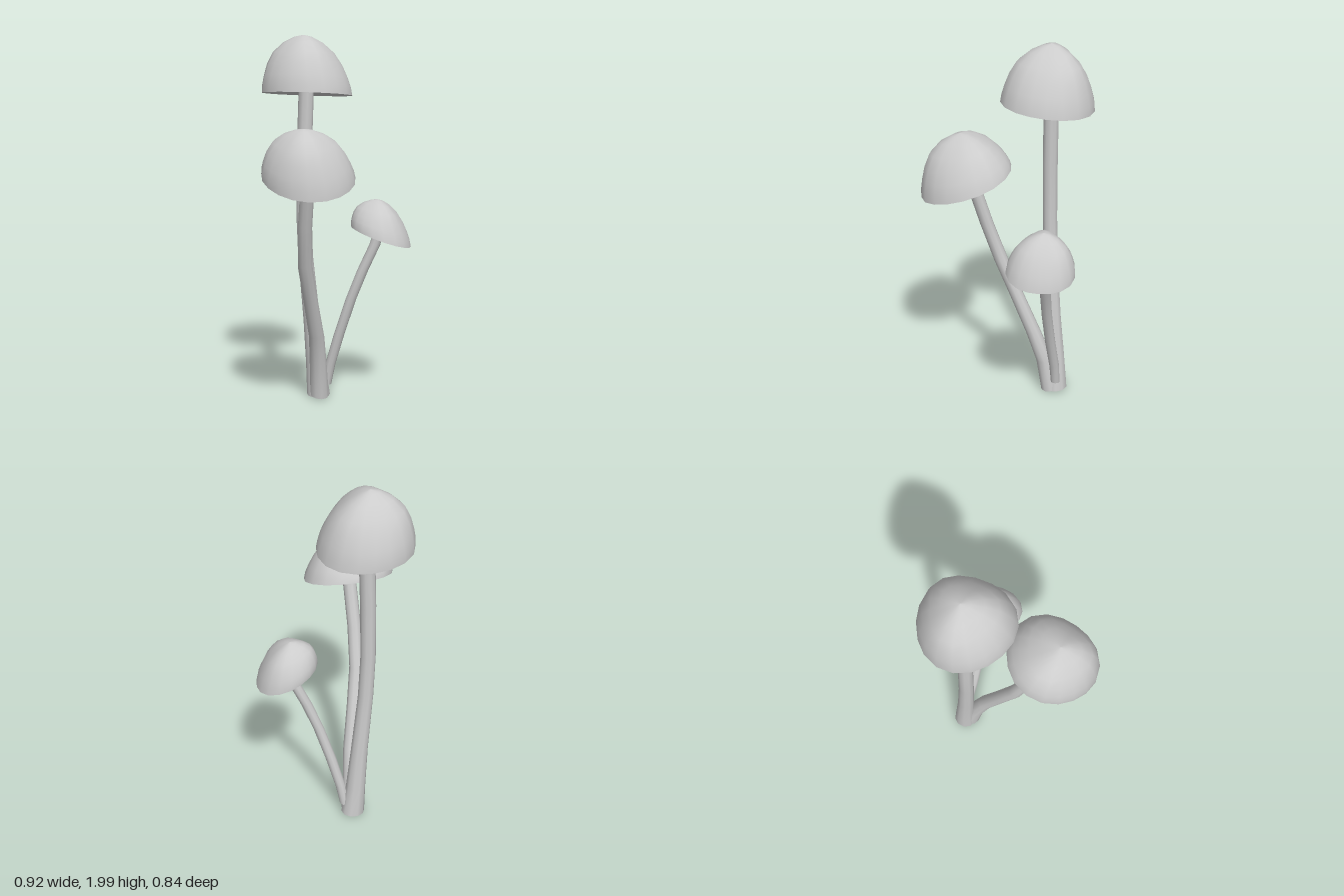
import * as THREE from 'three';

const material = new THREE.MeshStandardMaterial({ color: 0xcccccc });

// Skin between closed rings listed bottom to top (or centre to rim when facing down)
function loft(rings, name) {
  const n = rings[0].length;
  const index = [];
  for (let r = 0; r < rings.length - 1; r++) {
    for (let i = 0; i < n; i++) {
      const a = r * n + i, b = r * n + (i + 1) % n;
      index.push(a, b, b + n, a, b + n, a + n);
    }
  }
  const geometry = new THREE.BufferGeometry().setFromPoints(rings.flat());
  geometry.setIndex(index);
  geometry.computeVertexNormals();
  const mesh = new THREE.Mesh(geometry, material);
  mesh.name = name;
  return mesh;
}

// Ring of points around a centre; slope tilts it, shape(angle) varies its radius
function ring(center, radius, sides, slope = [0, 0], shape = () => 1) {
  return Array.from({ length: sides }, (_, i) => {
    const a = (i / sides) * Math.PI * 2;
    const x = Math.cos(a) * radius * shape(a);
    const z = -Math.sin(a) * radius * shape(a);
    return new THREE.Vector3(center.x + x, center.y + x * slope[0] + z * slope[1], center.z + z);
  });
}

// Bent stem through points [x, y, z, radius], with a closed foot
function makeStem(points, footSlope) {
  const group = new THREE.Group();
  group.name = 'stem';
  const rings = points.map(([x, y, z, r], i) =>
    ring({ x, y, z }, r, 10, i === 0 ? footSlope : [0, 0]));
  const [x, y, z] = points[0];
  group.add(loft(rings, 'stemSide'));
  group.add(loft([ring({ x, y, z }, 0, 10), rings[0].map((p) => p.clone())], 'stemFoot'));
  return group;
}

// Height fraction, radius fraction and amount of lobing
const CAP_PROFILE = [
  [0, 1, 0.03], [0.14, 0.98, 0.03], [0.3, 0.92, 0.04], [0.5, 0.82, 0.06],
  [0.7, 0.66, 0.1], [0.87, 0.42, 0.13], [0.97, 0.18, 0.1], [1, 0, 0],
];

// Lopsided, softly three-lobed cap with a hollow underside
function makeCap({ rim, apex, radius, slope, lobe, stretch = 0 }) {
  const group = new THREE.Group();
  group.name = 'cap';
  const base = new THREE.Vector3(...rim);
  const top = new THREE.Vector3(...apex);
  const shapeFor = (amount) => (a) =>
    1 + amount * Math.cos(3 * (a - lobe)) + stretch * Math.cos(2 * (a - 0.85));
  const outer = CAP_PROFILE.map(([t, r, amount]) =>
    ring(base.clone().lerp(top, t), radius * r, 18,
      slope.map((s) => s * (1 - t * 0.7)), shapeFor(amount)));
  group.add(loft(outer, 'capTop'));
  const inner = [[0.3, 0], [0.26, 0.25], [0.15, 0.65], [0, 1]].map(([t, r]) =>
    ring(base.clone().lerp(top, t), radius * r, 18, slope, shapeFor(0.03)));
  group.add(loft(inner, 'capUnderside'));
  return group;
}

const MUSHROOMS = [
  {
    name: 'tallMushroom',
    stem: [[0.07, 0.02, -0.195, 0.064], [0.055, 0.2, -0.2, 0.054], [0.03, 0.45, -0.2, 0.046],
      [-0.005, 0.8, -0.205, 0.041], [-0.016, 1.05, -0.207, 0.04], [-0.014, 1.35, -0.203, 0.041],
      [-0.005, 1.65, -0.198, 0.041], [-0.003, 1.8, -0.195, 0.04]],
    footSlope: [0.06, -0.08],
    cap: { rim: [-0.004, 1.688, -0.18], apex: [-0.015, 2, -0.205], radius: 0.243,
      slope: [-0.07, 0.05], lobe: 0.14 },
  },
  {
    name: 'middleMushroom',
    stem: [[0.058, 0.025, -0.165, 0.052], [0.035, 0.2, -0.14, 0.047], [-0.006, 0.38, -0.09, 0.042],
      [-0.08, 0.6, -0.03, 0.039], [-0.146, 0.8, 0.025, 0.039], [-0.185, 1.02, 0.09, 0.037],
      [-0.208, 1.24, 0.153, 0.036], [-0.22, 1.36, 0.185, 0.035]],
    footSlope: [0.05, -0.25],
    cap: { rim: [-0.22, 1.28, 0.185], apex: [-0.258, 1.535, 0.2], radius: 0.238,
      slope: [0.14, -0.32], lobe: 0.02 },
  },
  {
    name: 'smallMushroom',
    stem: [[0.105, 0.08, -0.165, 0.026], [0.118, 0.2, -0.145, 0.028], [0.145, 0.38, -0.095, 0.029],
      [0.185, 0.58, -0.04, 0.029], [0.23, 0.74, 0.005, 0.03], [0.28, 0.88, 0.045, 0.03],
      [0.3, 0.98, 0.07, 0.028]],
    footSlope: [0, 0],
    cap: { rim: [0.296, 0.93, 0.088], apex: [0.285, 1.13, 0.06], radius: 0.17,
      slope: [-0.28, -0.19], lobe: 0.35, stretch: 0.05 },
  },
];

export function createModel() {
  const model = new THREE.Group();
  model.name = 'mushroomCluster';
  for (const { name, stem, footSlope, cap } of MUSHROOMS) {
    const mushroom = new THREE.Group();
    mushroom.name = name;
    mushroom.add(makeStem(stem, footSlope), makeCap(cap));
    model.add(mushroom);
  }
  return model;
}
